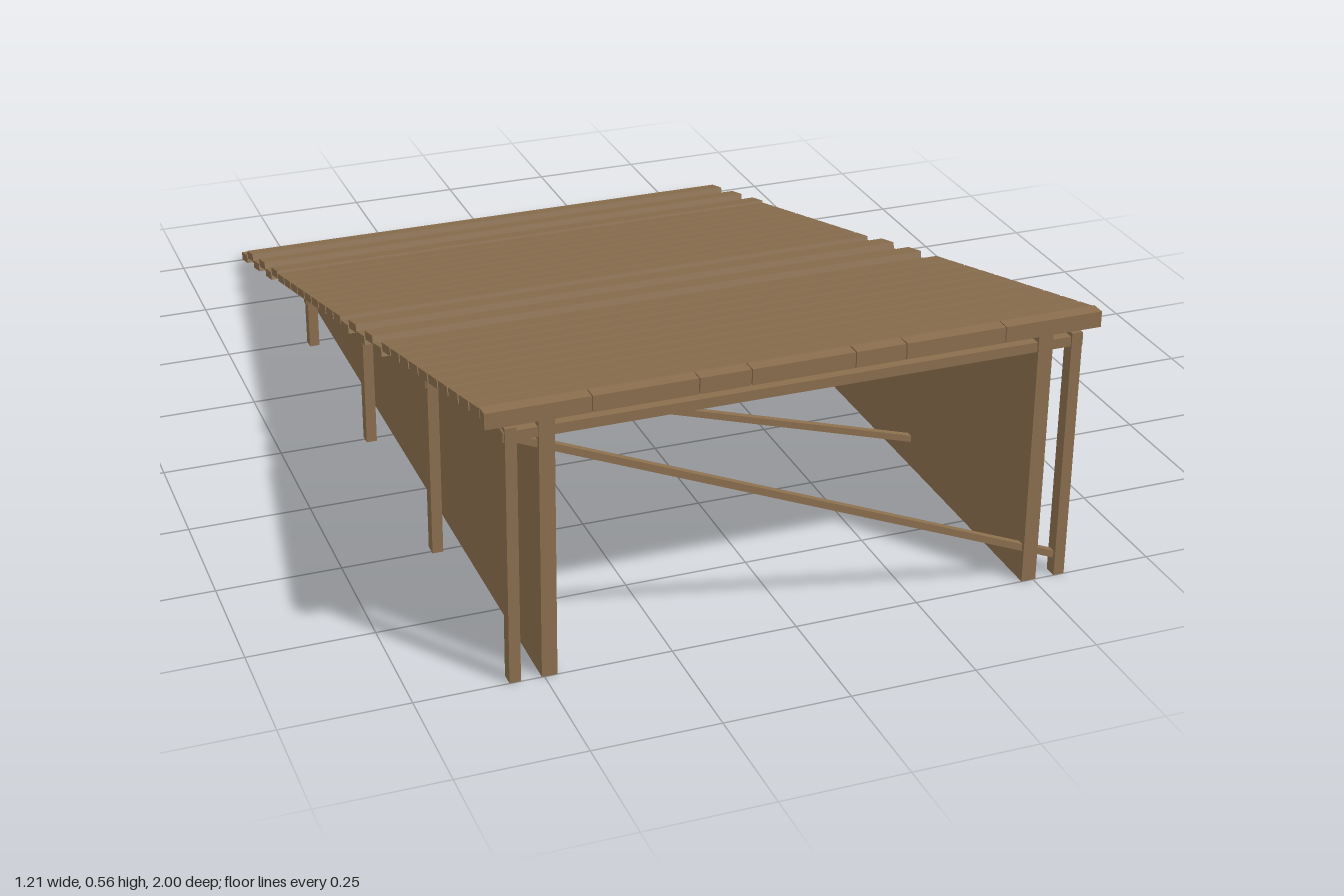
import * as THREE from 'three';

const wood = new THREE.MeshStandardMaterial({ color: 0x8b6f4e });
wood.name = 'weathered wood';

const RISE = 0.53;                       // height of the ramp at its front edge
const SLOPE = Math.atan2(RISE, 2);
const lineY = (z) => RISE * (z + 1) / 2; // top edge of the side panels

function box(parent, name, w, h, d, x, y, z) {
  const m = new THREE.Mesh(new THREE.BoxGeometry(w, h, d), wood);
  m.name = name;
  m.position.set(x, y, z);
  parent.add(m);
  return m;
}

export function createModel() {
  const root = new THREE.Group();
  root.name = 'ramp';

  // Deck planks, with two runs where every other plank sits lower
  const deck = new THREE.Group();
  deck.name = 'deck';
  root.add(deck);
  const sunken = [0, 2, 4, 15, 17, 19];
  for (let i = 0; i < 30; i++) {
    const z = -0.968 + i * 0.066;
    const low = sunken.includes(i);
    const lift = low ? 0.011 : (i > 5 && i < 15 ? 0.02 : 0.025);
    const plank = box(deck, 'deckPlank', 1.21, 0.018, 0.061, 0, lineY(z) + lift, z);
    plank.rotation.x = -SLOPE;
  }

  // Wedge-shaped side panels
  const wedge = new THREE.Shape();
  wedge.moveTo(-1, 0);
  wedge.lineTo(1, 0);
  wedge.lineTo(-1, RISE);
  wedge.closePath();
  const wedgeGeo = new THREE.ExtrudeGeometry(wedge, { depth: 0.03, bevelEnabled: false });
  wedgeGeo.translate(0, 0, -0.015);
  wedgeGeo.rotateY(Math.PI / 2);
  for (const side of [-1, 1]) {
    const panel = new THREE.Mesh(wedgeGeo, wood);
    panel.name = 'sidePanel';
    panel.position.x = side * 0.49;
    root.add(panel);
  }

  // Support frames: two posts, a cross beam and a diagonal brace each
  for (const z of [0.986, 0.494, 0.002, -0.49]) {
    const frame = new THREE.Group();
    frame.name = 'supportFrame';
    root.add(frame);
    const h = lineY(z) - 0.004;
    for (const side of [-1, 1]) {
      box(frame, 'post', 0.022, h, 0.027, side * 0.556, h / 2, z);
    }
    const beamY = h - 0.018;
    box(frame, 'crossBeam', 1.14, 0.02, 0.02, 0, beamY, z);
    const drop = beamY - 0.035;
    const brace = box(frame, 'diagonalBrace', Math.hypot(1.13, drop), 0.014, 0.014,
      0, (beamY + 0.035) / 2, z);
    brace.rotation.z = -Math.atan2(drop, 1.13);
  }

  // Front edge board in butted lengths
  const joints = [-0.605, -0.405, -0.203, -0.102, 0.102, 0.203, 0.405, 0.605];
  for (let i = 0; i < joints.length - 1; i++) {
    const w = joints[i + 1] - joints[i];
    box(root, 'edgeBoard', w - 0.002, 0.032, 0.029, joints[i] + w / 2, 0.543, 0.9855);
  }
  return root;
}
